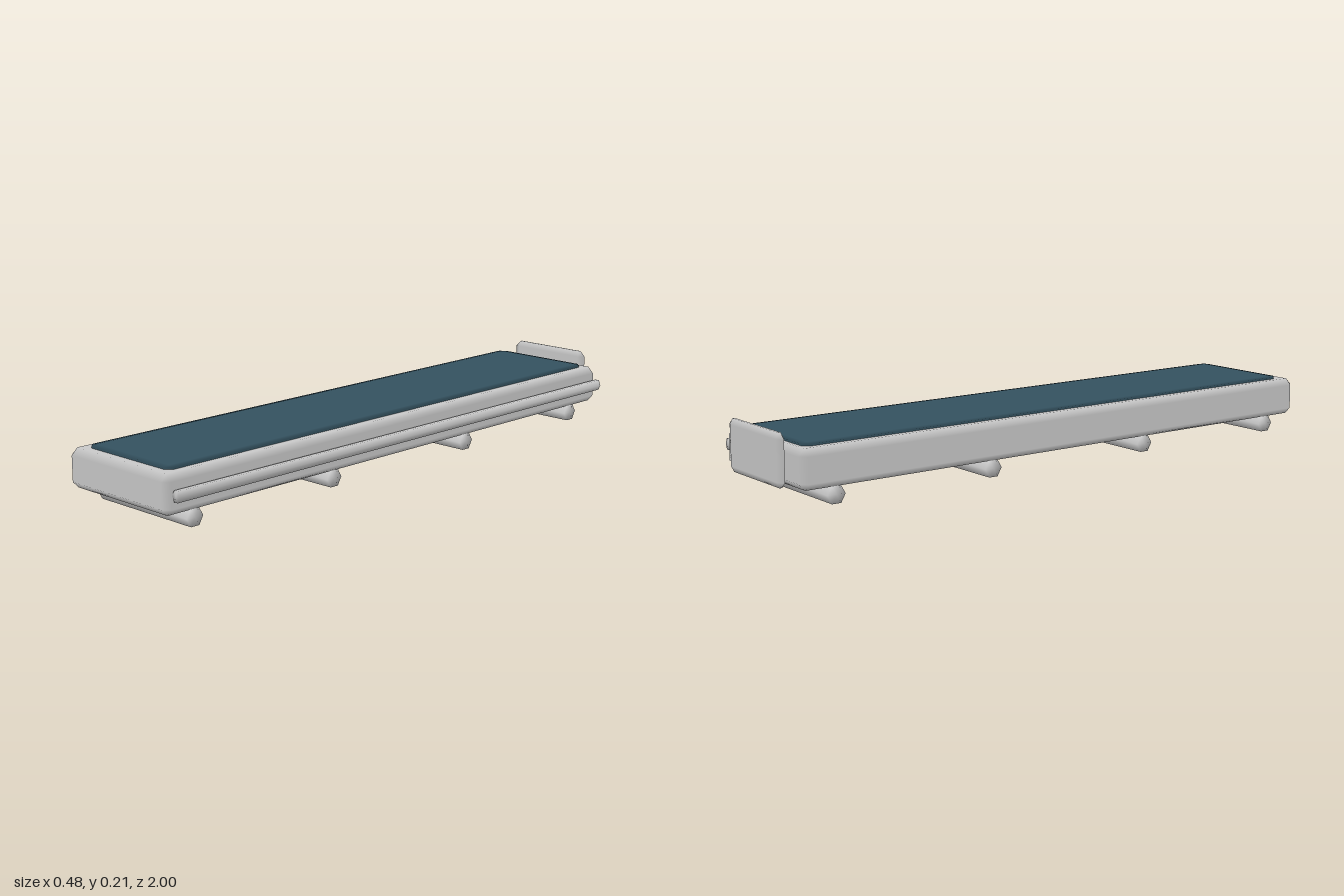
import * as THREE from 'three';
import { mergeVertices } from 'three/addons/utils/BufferGeometryUtils.js';

const frameGrey = new THREE.MeshStandardMaterial({ name: 'frameGrey', color: 0xc9c9c9 });
const padTeal = new THREE.MeshStandardMaterial({ name: 'padTeal', color: 0x345260 });

// Box with single-step chamfers: flat faces, softly shaded bevels.
// min, max: opposite corners; r: chamfer depth along each axis.
function chamferBox(min, max, r) {
  const half = max.map((m, i) => (m - min[i]) / 2);
  const centre = max.map((m, i) => (m + min[i]) / 2);
  const positions = [], normals = [], indices = [], ids = {};
  const signs = [-1, 1];

  // Each corner is split into three points, one per adjoining face
  for (const x of signs) for (const y of signs) for (const z of signs) {
    const s = [x, y, z];
    for (let axis = 0; axis < 3; axis++) {
      ids[s.join() + axis] = positions.length / 3;
      positions.push(...s.map((v, i) => v * (half[i] - (i === axis ? 0 : r[i]))));
      normals.push(...s.map((v, i) => (i === axis ? v : 0)));
    }
  }
  const point = (i) => new THREE.Vector3().fromArray(positions, i * 3);
  const tri = (a, b, c) => {
    const [p, q, t] = [a, b, c].map(point);
    const out = q.clone().sub(p).cross(t.clone().sub(p)).dot(p.clone().add(q).add(t));
    indices.push(...(out > 0 ? [a, b, c] : [a, c, b]));
  };
  const quad = (a, b, c, d) => { tri(a, b, c); tri(a, c, d); };
  const id = (a, sa, b, sb, c, sc, axis) => {
    const s = [];
    s[a] = sa; s[b] = sb; s[c] = sc;
    return ids[s.join() + axis];
  };

  for (let a = 0; a < 3; a++) {
    const b = (a + 1) % 3, c = (a + 2) % 3;
    for (const s of signs) {
      // Main face
      quad(id(a, s, b, -1, c, -1, a), id(a, s, b, 1, c, -1, a),
        id(a, s, b, 1, c, 1, a), id(a, s, b, -1, c, 1, a));
      // Bevels along the third axis
      for (const t of signs) {
        quad(id(a, s, b, t, c, -1, a), id(a, s, b, t, c, 1, a),
          id(a, s, b, t, c, 1, b), id(a, s, b, t, c, -1, b));
      }
    }
  }
  // Corner triangles
  for (const x of signs) for (const y of signs) for (const z of signs) {
    const key = [x, y, z].join();
    tri(ids[key + 0], ids[key + 1], ids[key + 2]);
  }

  const g = new THREE.BufferGeometry();
  g.setAttribute('position', new THREE.Float32BufferAttribute(positions, 3));
  g.setAttribute('normal', new THREE.Float32BufferAttribute(normals, 3));
  g.setIndex(indices);
  return g.translate(...centre);
}

// Six-sided bar along y, shaded smoothly over its ends
function hexBar(length) {
  const g = new THREE.CylinderGeometry(1, 1, length, 6);
  g.deleteAttribute('normal');
  g.deleteAttribute('uv');
  const merged = mergeVertices(g);
  merged.computeVertexNormals();
  return merged;
}

export function createModel() {
  const model = new THREE.Group();
  model.name = 'paddedBench';
  const add = (name, geometry, material) => {
    const mesh = new THREE.Mesh(geometry, material);
    mesh.name = name;
    model.add(mesh);
    return mesh;
  };

  // Long base, inset pad and end board
  add('base', chamferBox([-0.239, 0.052, -0.968], [0.208, 0.174, 1], [0.021, 0.021, 0.021]), frameGrey);
  add('pad', chamferBox([-0.2, 0.163, -0.936], [0.168, 0.183, 0.956], [0.02, 0.003, 0.02]), padTeal);
  add('endBoard', chamferBox([-0.169, 0.053, -1], [0.136, 0.214, -0.974], [0.018, 0.018, 0.009]), frameGrey);

  // Side rail on the left edge: flat top, points to the sides
  const rail = hexBar(1.93).rotateX(Math.PI / 2).rotateZ(Math.PI / 2);
  rail.scale(0.0147, 0.0196, 1).translate(0.2225, 0.114, 0.012);
  add('sideRail', rail, frameGrey);

  // Cross bars that carry the base
  const bar = hexBar(0.405).rotateZ(Math.PI / 2).scale(1, 0.0306, 0.0306);
  [0.88, 0.325, -0.287, -0.845].forEach((z, i) => {
    add('crossBar' + (i + 1), bar, frameGrey).position.set(-0.0155, 0.0265, z);
  });

  return model;
}
